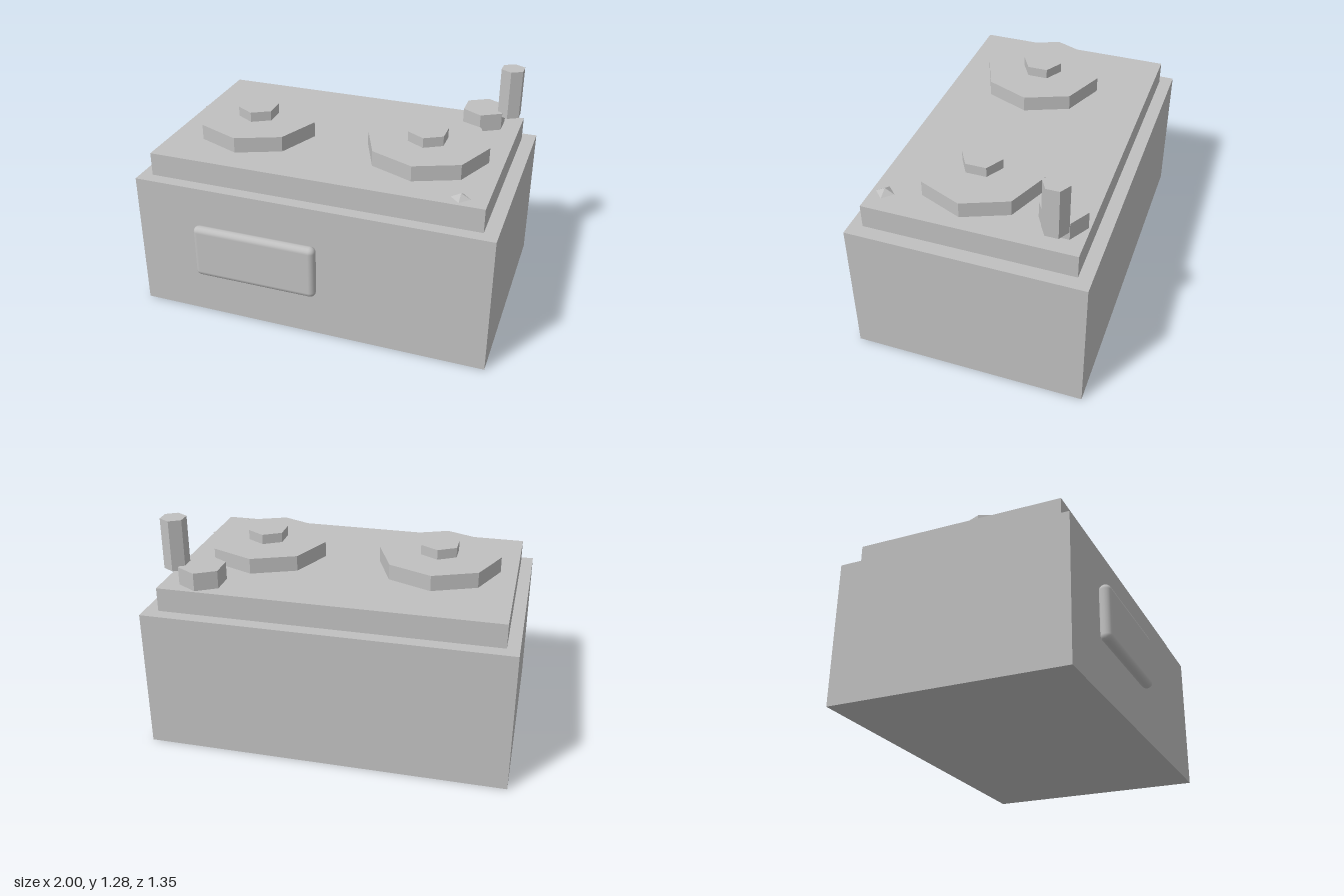
import * as THREE from 'three';
import { RoundedBoxGeometry } from 'three/addons/geometries/RoundedBoxGeometry.js';

export function createModel() {
  const group = new THREE.Group();
  const grey = new THREE.MeshStandardMaterial({ color: 0xc0c0c0 });
  grey.name = 'grey';

  const add = (name, geometry, x, y, z) => {
    const mesh = new THREE.Mesh(geometry, grey);
    mesh.name = name;
    mesh.position.set(x, y, z);
    group.add(mesh);
    return mesh;
  };

  // Faceted prism (or pyramid) standing between two heights
  const prism = (name, sides, radius, x, z, y0, y1, topRadius = radius) => {
    const geometry = new THREE.CylinderGeometry(topRadius, radius, y1 - y0, sides).toNonIndexed();
    geometry.computeVertexNormals();
    return add(name, geometry, x, (y0 + y1) / 2, z);
  };

  // Stove body and stepped cooktop
  add('body', new THREE.BoxGeometry(2, 0.79, 1.284), 0, 0.395, -0.032);
  add('cooktop', new THREE.BoxGeometry(1.856, 0.133, 1.142), -0.005, 0.8565, -0.03);

  // Two octagonal burners with hexagonal caps
  for (const [side, x] of [['right', -0.5], ['left', 0.5]]) {
    prism(side + 'Burner', 8, 0.341, x, 0.04, 0.923, 1.01);
    prism(side + 'BurnerCap', 6, 0.114, x, 0.04, 1.01, 1.066);
  }

  // Chimney base and the offset pipe beside it
  prism('chimneyBase', 6, 0.128, 0.711, -0.461, 0.923, 1.023);
  prism('chimneyPipe', 6, 0.07, 0.853, -0.461, 0.998, 1.28);

  // Small pyramid stud on the front corner
  prism('stud', 4, 0.052, 0.783, 0.468, 0.923, 0.951, 0);

  // Rounded door on the front
  add('door', new RoundedBoxGeometry(0.71, 0.31, 0.065, 2, 0.032), -0.288, 0.425, 0.6425);

  return group;
}
